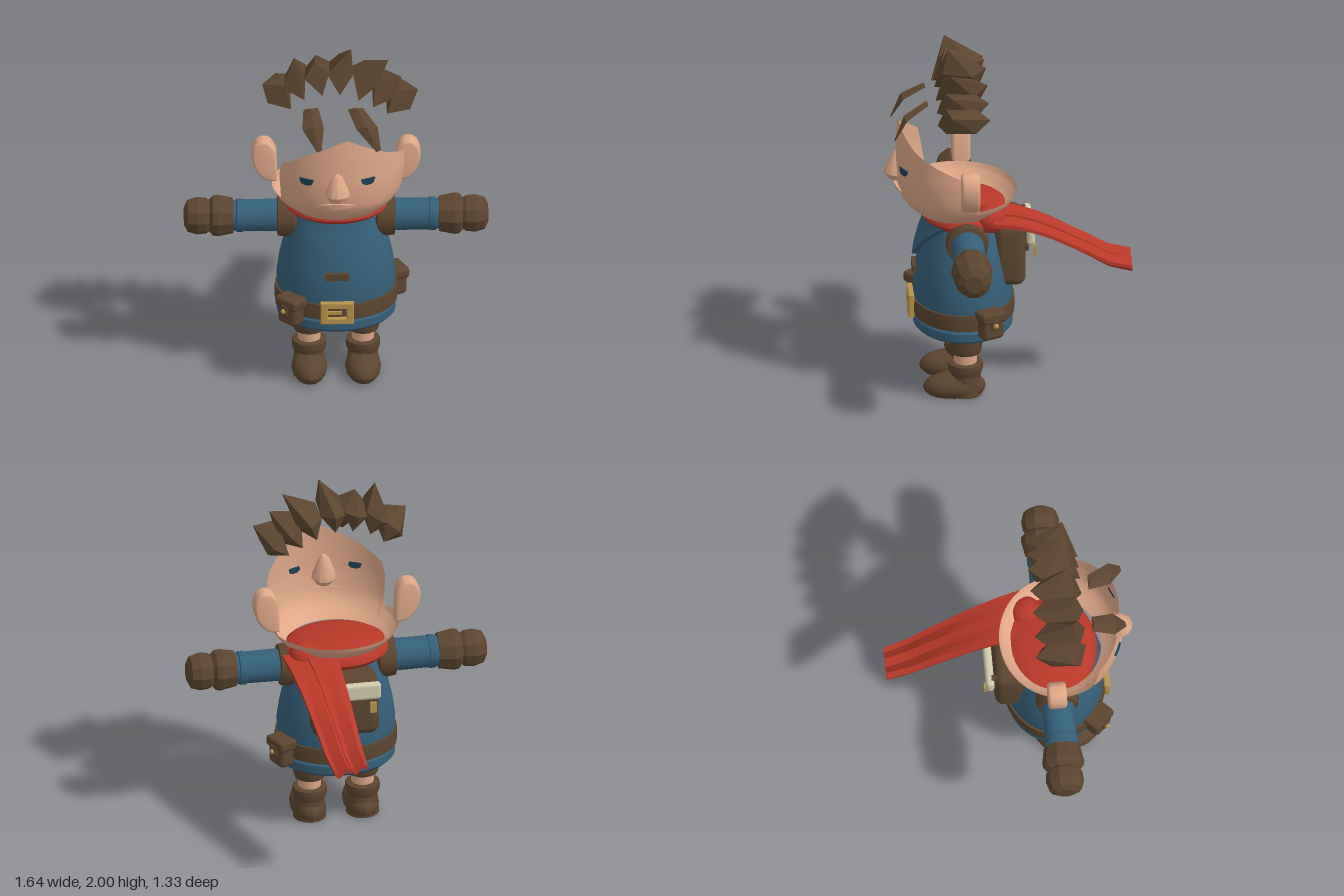
import * as THREE from 'three';
import { toCreasedNormals } from 'three/addons/utils/BufferGeometryUtils.js';
import { RoundedBoxGeometry } from 'three/addons/geometries/RoundedBoxGeometry.js';
import { ConvexGeometry } from 'three/addons/geometries/ConvexGeometry.js';

const mat = (name, color, side = THREE.FrontSide) => {
  const m = new THREE.MeshStandardMaterial({ color, side });
  m.name = name;
  return m;
};
const V = (x, y, z) => new THREE.Vector3(x, y, z);
const lerp = THREE.MathUtils.lerp;

// piecewise linear lookup in [[key, value], ...]
function table(rows, k) {
  if (k <= rows[0][0]) return rows[0][1];
  for (let i = 1; i < rows.length; i++) {
    const [a, va] = rows[i - 1], [b, vb] = rows[i];
    if (k <= b) return lerp(va, vb, (k - a) / (b - a));
  }
  return rows[rows.length - 1][1];
}

// move every vertex of a geometry by a rule
function warp(geo, rule) {
  const p = geo.attributes.position;
  for (let i = 0; i < p.count; i++) p.setXYZ(i, ...rule(p.getX(i), p.getY(i), p.getZ(i)));
  geo.computeVertexNormals();
  return geo;
}
const crease = (geo, angle = 0.6) => toCreasedNormals(geo, angle);
const lathe = (pts, sides = 32, angle = 0.6) =>
  crease(new THREE.LatheGeometry(pts.map(([r, y]) => new THREE.Vector2(r, y)), sides), angle);

// body outline (radius by height) and skull outline
const BODY = [[0.36, 0.305], [0.375, 0.32], [0.42, 0.322], [0.43, 0.312], [0.53, 0.318], [0.6, 0.322],
  [0.7, 0.308], [0.8, 0.285], [0.9, 0.255], [1.0, 0.215]];
const BZ = 0.235, BD = 0.84;
const bodyFront = (x, y) => {
  const r = table(BODY, y);
  return BZ + BD * Math.sqrt(Math.max(0, r * r - x * x));
};
const SKULL = [[1.045, 0.68], [1.08, 0.8], [1.12, 0.9], [1.16, 0.95], [1.22, 0.98], [1.3, 1], [1.45, 0.99], [1.6, 0.96]];
const skull = (deg, y, out = 0) => {
  const a = THREE.MathUtils.degToRad(deg), s = table(SKULL, y);
  return [(0.37 * s + out) * Math.sin(a), y, 0.26 + (0.34 * s + out) * Math.cos(a)];
};
// height of the open rim by direction, 0 = front
const RIM = [[-180, 1.15], [-60, 1.15], [-56, 1.37], [-29, 1.47], [0, 1.56], [9, 1.58], [45, 1.465],
  [87, 1.36], [100, 1.31], [106, 1.15], [180, 1.15]];

export function createModel() {
  const root = new THREE.Group();
  root.name = 'adventurer';
  const skin = mat('skin', 0xe0a888, THREE.DoubleSide);
  const blue = mat('tunicBlue', 0x35607a);
  const brown = mat('leatherBrown', 0x5c452f);
  const red = mat('scarfRed', 0xb83828, THREE.DoubleSide);
  const gold = mat('brass', 0xb8944a);
  const cream = mat('bedrollCream', 0xd2c9ac);
  const navy = mat('eyeNavy', 0x1d4054, THREE.DoubleSide);

  const add = (name, geo, m, x = 0, y = 0, z = 0, parent = root) => {
    const mesh = new THREE.Mesh(geo, m);
    mesh.name = name;
    mesh.position.set(x, y, z);
    parent.add(mesh);
    return mesh;
  };

  // tunic, pelvis and belt share the oval plan
  const oval = (name, pts, m) => { add(name, lathe(pts, 40), m, 0, 0, BZ).scale.z = BD; };
  oval('tunic', [[0.27, 0.38], ...BODY.map(([y, r]) => [r, y]), [0.1, 1.03]], blue);
  oval('pelvis', [[0, 0.33], [0.14, 0.335], [0.22, 0.35], [0.275, 0.385]], brown);
  oval('belt', [[0.3, 0.44], [0.33, 0.44], [0.333, 0.485], [0.33, 0.53], [0.3, 0.53]], brown);

  // pointed collar flap and chest tab follow the tunic front
  add('collarFlap', crease(warp(new THREE.BoxGeometry(2, 1, 1, 12, 6, 1), (u, v, w) => {
    const y = lerp(0.77, 1.02, v + 0.5), x = u * lerp(0.008, 0.235, v + 0.5);
    return [x, y, bodyFront(x * 0.85, y) + (w > 0 ? 0.03 : -0.01)];
  })), blue);
  add('chestTab', new THREE.BoxGeometry(0.13, 0.04, 0.03), brown, 0, 0.7, 0.496);

  // buckle
  const frame = new THREE.Shape();
  frame.moveTo(-0.085, -0.06).lineTo(0.085, -0.06).lineTo(0.085, 0.06).lineTo(-0.085, 0.06).closePath();
  const hole = new THREE.Path();
  hole.moveTo(-0.055, -0.033).lineTo(-0.055, 0.033).lineTo(0.055, 0.033).lineTo(0.055, -0.033).closePath();
  frame.holes.push(hole);
  add('buckleFrame', new THREE.ExtrudeGeometry(frame,
    { depth: 0.02, bevelSize: 0.005, bevelThickness: 0.006, bevelSegments: 1 }), gold, 0, 0.49, 0.508);
  add('bucklePin', new THREE.BoxGeometry(0.09, 0.018, 0.015), gold, -0.02, 0.49, 0.52);

  // belt pouches
  for (const deg of [-44, 115]) {
    const a = THREE.MathUtils.degToRad(deg), pouch = new THREE.Group();
    pouch.name = 'beltPouch';
    pouch.position.set(0.34 * Math.sin(a), 0.48, BZ + 0.29 * Math.cos(a));
    pouch.rotation.y = a;
    root.add(pouch);
    add('pouchBag', new RoundedBoxGeometry(0.13, 0.14, 0.09, 2, 0.025), brown, 0, -0.01, 0.015, pouch);
    add('pouchFlap', new RoundedBoxGeometry(0.15, 0.06, 0.11, 2, 0.018), brown, 0, 0.05, 0.015, pouch);
    add('pouchTongue', new RoundedBoxGeometry(0.05, 0.06, 0.02, 1, 0.008), brown, 0, 0.015, 0.066, pouch);
    add('pouchButton', new THREE.SphereGeometry(0.015, 10, 6), gold, 0, 0.01, 0.076, pouch);
  }

  // arms and legs
  for (const s of [1, -1]) {
    const arm = new THREE.Group();
    arm.name = s > 0 ? 'leftArm' : 'rightArm';
    arm.position.set(0, 0.938, 0.23);
    arm.rotation.z = -s * Math.PI / 2;
    root.add(arm);
    add('shoulderCuff', lathe([[0.08, 0.2], [0.112, 0.225], [0.118, 0.27], [0.112, 0.315], [0.085, 0.32]], 16), brown, 0, 0, 0, arm);
    add('sleeve', lathe([[0.09, 0.2], [0.087, 0.5], [0.092, 0.505], [0.092, 0.535], [0.084, 0.54], [0.084, 0.58]], 20), blue, 0, 0, 0, arm);
    add('gloveCuff', lathe([[0.07, 0.552], [0.098, 0.555], [0.114, 0.64], [0.11, 0.665], [0.085, 0.685]], 10, 0.3), brown, 0, 0, 0, arm);
    add('hand', lathe([[0.08, 0.675], [0.098, 0.7], [0.103, 0.75], [0.088, 0.8], [0.05, 0.82], [0, 0.822]], 10, 0.3), brown, 0, 0, 0, arm);

    const leg = new THREE.Group();
    leg.name = s > 0 ? 'leftLeg' : 'rightLeg';
    leg.position.set(s * 0.145, 0, 0.23);
    root.add(leg);
    add('trouserLeg', lathe([[0.05, 0.245], [0.082, 0.245], [0.09, 0.27], [0.092, 0.38]], 14), brown, 0, 0, 0, leg);
    add('shin', new THREE.CylinderGeometry(0.065, 0.06, 0.1, 14), skin, 0, 0.21, 0, leg);
    add('bootCuff', lathe([[0.07, 0.115], [0.085, 0.12], [0.095, 0.15], [0.093, 0.183], [0.06, 0.188]], 14), brown, 0, 0, 0, leg);
    add('bootAnkle', new THREE.CylinderGeometry(0.08, 0.09, 0.13, 14), brown, 0, 0.065, 0, leg);
    // foot: a round-topped block, tapering in height to the toe
    add('bootFoot', crease(warp(new THREE.SphereGeometry(1, 16, 10), (x, y, z) =>
      [x * 0.097, Math.max(0, 0.045 + y * (z > 0 ? 0.078 : 0.09)), 0.06 + z * 0.17])), brown, 0, 0, 0, leg);
  }

  // open head shell
  add('head', warp(new THREE.PlaneGeometry(1, 1, 120, 12), (u, v) => {
    const deg = u * 360;
    return skull(deg, lerp(1.045, table(RIM, deg), v + 0.5));
  }), skin);

  // ears: rounded half discs with a sunken bowl
  const ear = new THREE.Shape();
  ear.moveTo(-0.055, -0.105).quadraticCurveTo(0.01, -0.11, 0.045, -0.03)
    .quadraticCurveTo(0.075, 0.06, 0.03, 0.1).quadraticCurveTo(-0.02, 0.13, -0.05, 0.05).closePath();
  for (const s of [1, -1]) {
    const geo = new THREE.ExtrudeGeometry(ear,
      { depth: 0.06, bevelSize: 0.014, bevelThickness: 0.02, bevelSegments: 3, curveSegments: 8 });
    const mesh = add(s > 0 ? 'leftEar' : 'rightEar', crease(geo, 0.9), skin, s * 0.385, 1.28, 0.22);
    geo.translate(0, 0, -0.03);
    mesh.geometry = crease(geo, 0.9);
    mesh.rotation.y = s > 0 ? 0 : Math.PI;
  }

  // nose, lips and lowered eyes
  const nose = add('nose', lathe([[0, -0.085], [0.045, -0.08], [0.068, -0.045], [0.062, -0.015], [0.03, 0.07], [0.015, 0.09], [0, 0.092]], 12, 0.5),
    skin, 0, 1.3, 0.59);
  nose.rotation.x = -0.12;
  add('lips', crease(warp(new THREE.BoxGeometry(2, 1, 1, 10, 2, 1), (u, v, w) => {
    const y = 1.185 + v * lerp(0.036, 0.008, Math.abs(u)) - 0.005 * u * u;
    return skull(u * 16.5, y, w > 0 ? 0.018 * (1 - 0.7 * u * u) : -0.003);
  })), skin);
  const lid = new THREE.Shape();
  lid.moveTo(-0.042, 0.016).lineTo(0.042, 0.016).lineTo(0.032, -0.012).lineTo(0.015, -0.021)
    .lineTo(-0.015, -0.021).lineTo(-0.032, -0.012).closePath();
  for (const s of [1, -1]) {
    const eye = add(s > 0 ? 'leftEye' : 'rightEye',
      new THREE.ExtrudeGeometry(lid, { depth: 0.009, bevelEnabled: false }), navy, ...skull(s * 26.5, 1.325, -0.002));
    eye.rotation.y = s * 0.44;
  }

  // spiky hair arch: [base x, base y, tip x, tip y]
  const tufts = [[-0.31, 1.73, -0.4, 1.79], [-0.22, 1.8, -0.23, 1.95], [-0.1, 1.835, -0.12, 1.92], [0.02, 1.84, 0.08, 2],
    [0.15, 1.8, 0.28, 1.93], [0.25, 1.745, 0.35, 1.83], [0.34, 1.69, 0.44, 1.75]];
  for (const [x, y, tx, ty] of tufts) {
    const r = new THREE.Vector2(x - 0.01, y - 1.45).normalize();
    const at = (t, o, z) => V(x + r.y * t + r.x * o, y - r.x * t + r.y * o, z);
    add('hairTuft', new ConvexGeometry([at(-0.07, 0.02, 0.35), at(0.07, 0.02, 0.35), at(-0.07, 0, 0.19), at(0.07, 0, 0.19),
      at(0, -0.085, 0.39), at(0, -0.085, 0.15), at(0, 0.02, 0.11), V(tx, ty, 0.32)]), brown);
  }
  // forehead locks: [top x, middle x, tip x]
  for (const [a, b, c] of [[-0.14, -0.13, -0.1], [0.1, 0.16, 0.22]]) {
    const row = (x, y, z, w) => [V(x - w, y, z), V(x + w, y + 0.01, z), V(x, y + 0.018, z + 0.015)];
    const mid = row(b, 1.635, 0.55, 0.058);
    add('foreheadLock', new ConvexGeometry([...row(a, 1.69, 0.43, 0.04), ...mid]), brown);
    add('foreheadLockTip', new ConvexGeometry([...mid, V(c - 0.01, 1.53, 0.62), V(c + 0.015, 1.54, 0.615)]), brown);
  }

  // scarf wrap, knot and two tails
  const wrap = add('scarfWrap', lathe([[0.18, 0.975], [0.25, 0.985], [0.285, 1.02], [0.278, 1.05], [0.25, 1.068], [0.18, 1.085], [0, 1.1]], 32, 0.9), red, 0, 0, 0.225);
  wrap.scale.z = 0.86;
  add('scarfKnot', new THREE.SphereGeometry(1, 14, 10), red, 0.2, 1.05, 0.1).scale.set(0.085, 0.08, 0.085);
  const DROP = [[-0.67, 0.74], [-0.55, 0.775], [-0.4, 0.87], [-0.2, 0.985], [-0.05, 1.045], [0.1, 1.075]];
  for (const [x0, x1, e0, e1, lift] of [[0.04, 0.2, -0.01, 0.085, 0], [0.17, 0.32, 0.08, 0.175, -0.015]]) {
    add('scarfTail', crease(warp(new THREE.BoxGeometry(1, 1, 1, 4, 1, 12), (u, v, w) => {
      const k = 0.5 - w, z = lerp(0.09, -0.67, k), fold = 0.022 * k * Math.sin((u + 0.5) * Math.PI * 2);
      return [lerp(lerp(x0, x1, u + 0.5), lerp(e0, e1, u + 0.5), k), table(DROP, z) + lift + fold + v * 0.02, z];
    })), red);
  }

  // backpack with bedroll and strap ends
  add('backpack', crease(warp(new RoundedBoxGeometry(0.36, 0.36, 0.17, 4, 0.05), (x, y, z) =>
    [x * (1 - 0.15 * y), y, z]), 0.9), brown, 0, 0.81, -0.01);
  add('bedroll', new RoundedBoxGeometry(0.36, 0.1, 0.045, 3, 0.02), cream, 0, 0.92, -0.122);
  for (const s of [1, -1]) {
    add('strapEnd', new THREE.BoxGeometry(0.035, 0.06, 0.016), gold, s * 0.135, 0.83, -0.146);
    add('strap', new THREE.BoxGeometry(0.03, 0.14, 0.03), brown, s * 0.135, 0.9, -0.098);
  }
  return root;
}
